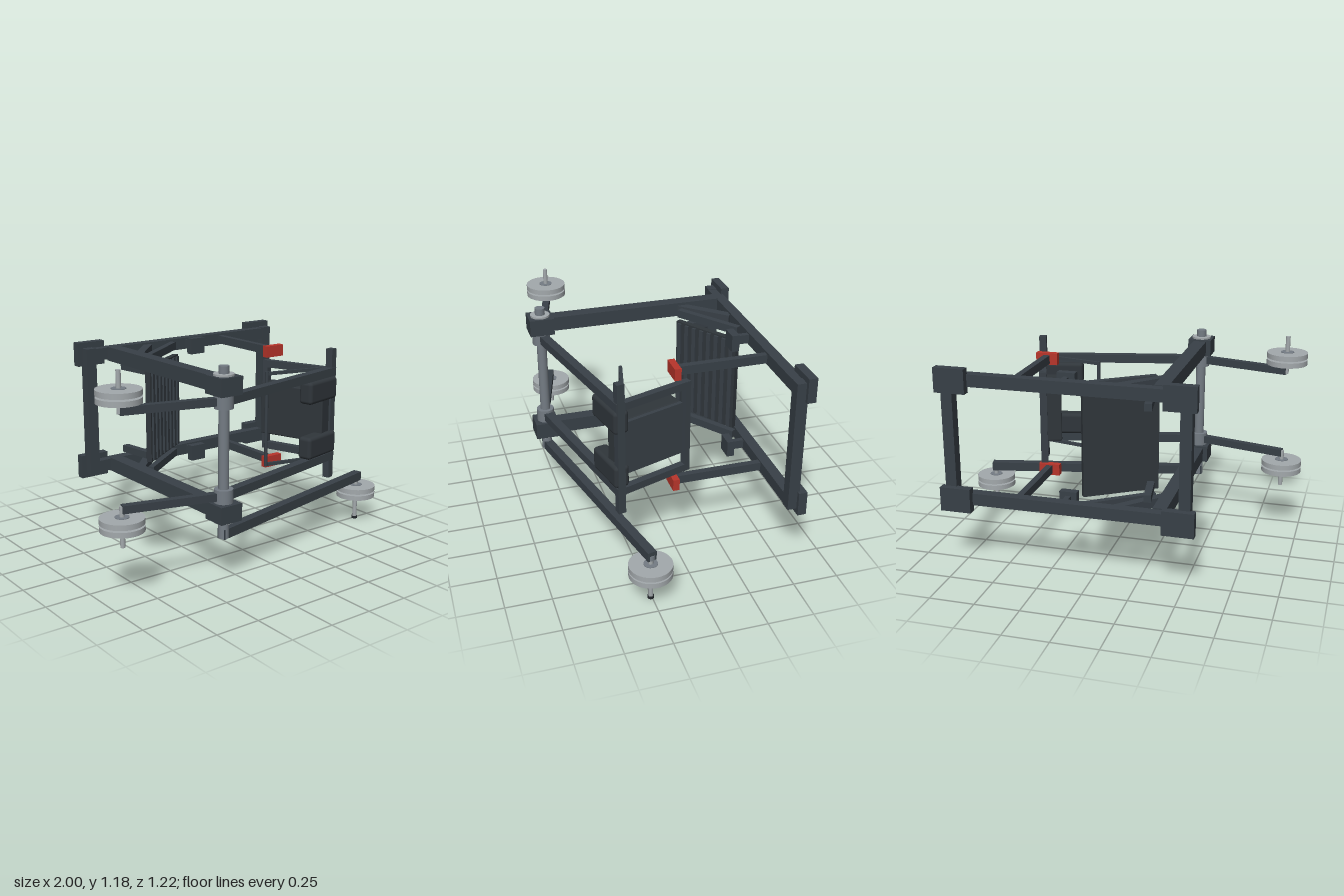
import * as THREE from 'three';
import { RoundedBoxGeometry } from 'three/addons/geometries/RoundedBoxGeometry.js';

const mat = (name, color) => {
  const m = new THREE.MeshStandardMaterial({ color });
  m.name = name;
  return m;
};

export function createModel() {
  const root = new THREE.Group();
  root.name = 'pressMachine';
  const frame = mat('frame charcoal', 0x384047);
  const padMat = mat('pad dark grey', 0x30363b);
  const steel = mat('shaft steel', 0x747c84);
  const disc = mat('weight grey', 0xa3a9ac);
  const red = mat('stop red', 0xb8352b);
  const rubber = mat('rubber black', 0x22262a);
  const MID = 0.73; // mirror height of the upper and lower halves

  const add = (name, geo, m, x, y, z, ry = 0) => {
    const mesh = new THREE.Mesh(geo, m);
    mesh.name = name;
    mesh.position.set(x, y, z);
    mesh.rotation.y = ry;
    root.add(mesh);
    return mesh;
  };
  // box from its bounds
  const box = (name, m, x0, x1, y0, y1, z0, z1) =>
    add(name, new THREE.BoxGeometry(x1 - x0, y1 - y0, z1 - z0), m,
      (x0 + x1) / 2, (y0 + y1) / 2, (z0 + z1) / 2);
  // horizontal beam between two plan points [x, z]
  const beam = (name, m, a, b, y, h, w) => {
    const dx = b[0] - a[0], dz = b[1] - a[1];
    return add(name, new THREE.BoxGeometry(Math.hypot(dx, dz), h, w), m,
      (a[0] + b[0]) / 2, y, (a[1] + b[1]) / 2, -Math.atan2(dz, dx));
  };
  const cyl = (name, m, r, x, z, y0, y1, seg = 32) =>
    add(name, new THREE.CylinderGeometry(r, r, y1 - y0, seg), m, x, (y0 + y1) / 2, z);

  const hub = [-0.358, 0.538], post = [0.572, 0.328];
  const low = [0.883, 0.257], out = [-0.885, 0.4];
  const armAngle = -Math.atan2(low[1] - hub[1], low[0] - hub[0]);

  // rear frame uprights
  box('rearUpright', frame, -0.535, -0.473, 0.357, 1.103, -0.577, -0.515);
  box('rearUpright', frame, 0.762, 0.825, 0.357, 1.103, -0.577, -0.515);

  // two weight discs with a hub, on a post
  const weights = (name, x, z, y) => {
    for (const s of [1, -1]) {
      cyl(name, disc, 0.116, x, z, y + s * 0.0195 - 0.0145, y + s * 0.0195 + 0.0145, 40);
    }
    cyl(name + 'Hub', steel, 0.038, x, z, y - 0.037, y + 0.037, 16);
  };

  for (const s of [1, -1]) {
    const Y = (d) => MID + s * d;
    // box spanning the mirrored level d with height h
    const level = (name, m, x0, x1, d, h, z0, z1) =>
      box(name, m, x0, x1, Y(d) - h / 2, Y(d) + h / 2, z0, z1);

    // rear rails, feet and long side beams
    level('rearRail', frame, -0.53, 0.822, 0.335, 0.068, -0.576, -0.516);
    level('footPlate', frame, -0.564, -0.39, 0.336, 0.136, -0.613, -0.565);
    level('footPlate', frame, 0.672, 0.846, 0.336, 0.136, -0.613, -0.565);
    level('sideBeam', frame, -0.398, -0.323, 0.334, 0.08, -0.52, 0.5);

    // shaft bearing block, flange and swivel collar
    level('bearingBlock', frame, -0.425, -0.291, 0.333, 0.095, 0.47, 0.608);
    cyl('bearingFlange', disc, 0.055, ...hub, Y(0.383) - 0.008, Y(0.383) + 0.008, 16);
    cyl('swivelCollar', steel, 0.05, ...hub, Y(0.249) - 0.037, Y(0.249) + 0.037);

    // swing arms on both sides of the shaft
    beam('swingArm', frame, hub, [0.59, 0.324], Y(0.25), 0.048, 0.05);
    beam('weightArm', frame, hub, out, Y(0.25), 0.042, 0.04);
    const ends = [Y(0.235), Y(0.452)].sort((a, b) => a - b);
    cyl('weightPost', disc, 0.013, ...out, ...ends, 16);
    weights('weightDisc', ...out, Y(0.326));

    // back rest side bars and hand bars
    beam('backRestBar', frame, post, [0.433, -0.07], Y(0.25), 0.042, 0.04);
    beam('handleBar', frame, [0.56, 0.302], [0.188, 0.216], Y(0.264), 0.018, 0.018);

    // rounded shoulder pads
    add('shoulderPad', new RoundedBoxGeometry(0.262, 0.128, 0.085, 3, 0.02), padMat,
      0.462, Y(0.16), 0.348, armAngle);

    // travel stops carried by the rear rails
    level('stopBar', frame, 0.405, 0.441, 0.333, 0.048, -0.52, -0.02);
    level('travelStop', red, 0.362, 0.486, 0.335, 0.066, -0.027, 0.01);

    // small bumpers
    level('bumperStem', frame, 0.151, 0.181, 0.335, 0.05, -0.52, -0.44);
    level('bumper', frame, 0.118, 0.217, 0.334, 0.094, -0.447, -0.404);

    // braces behind the foot rest
    beam('footBrace', frame, [-0.335, -0.285], [-0.115, -0.52], Y(0.334), 0.05, 0.048);
    beam('footRestBar', frame, [-0.275, -0.266], [0.055, -0.505], Y(0.334), 0.045, 0.035);
    beam('footStrut', frame, [-0.293, -0.516], [-0.262, -0.31], Y(0.25), 0.04, 0.04);
  }

  // central shaft
  cyl('shaft', steel, 0.028, ...hub, 0.25, 1.16);

  // low weight arm, post, discs and tip
  beam('lowWeightArm', frame, [hub[0] - 0.02, hub[1] + 0.004], [0.9, 0.253], 0.274, 0.053, 0.05);
  cyl('lowPostCollar', steel, 0.023, ...low, 0.25, 0.277, 16);
  cyl('lowWeightPost', disc, 0.013, ...low, 0.01, 0.26, 16);
  cyl('postTip', rubber, 0.018, ...low, 0, 0.014, 16);
  weights('lowWeightDisc', ...low, 0.184);

  // back rest post, cross bar, pad and handle
  add('backRestPost', new THREE.BoxGeometry(0.042, 0.762, 0.042), frame, post[0], MID, post[1], armAngle);
  const backAngle = -Math.atan2(post[1] + 0.07, post[0] - 0.433);
  add('backRestCrossBar', new THREE.BoxGeometry(0.032, 0.54, 0.04), frame, 0.433, MID, -0.072, backAngle);
  add('backPadBoard', new THREE.BoxGeometry(0.39, 0.305, 0.022), frame, 0.508, MID, 0.142, backAngle);
  add('backPad', new RoundedBoxGeometry(0.405, 0.305, 0.088, 2, 0.008), padMat, 0.452, MID, 0.162, backAngle);
  cyl('handle', frame, 0.01, 0.19, 0.218, 0.456, 1.006, 12);

  // ribbed foot rest
  const a = [-0.288, -0.264], b = [0.066, -0.497];
  beam('footRest', padMat, a, b, 0.731, 0.562, 0.032);
  const len = Math.hypot(b[0] - a[0], b[1] - a[1]);
  const nx = -(b[1] - a[1]) / len, nz = (b[0] - a[0]) / len;
  for (let i = 0; i < 8; i++) {
    const t = (i + 0.5) / 8;
    add('footRestRib', new THREE.BoxGeometry(0.026, 0.545, 0.012), frame,
      a[0] + (b[0] - a[0]) * t + nx * 0.021, 0.731,
      a[1] + (b[1] - a[1]) * t + nz * 0.021, -Math.atan2(b[1] - a[1], b[0] - a[0]));
  }

  return root;
}
